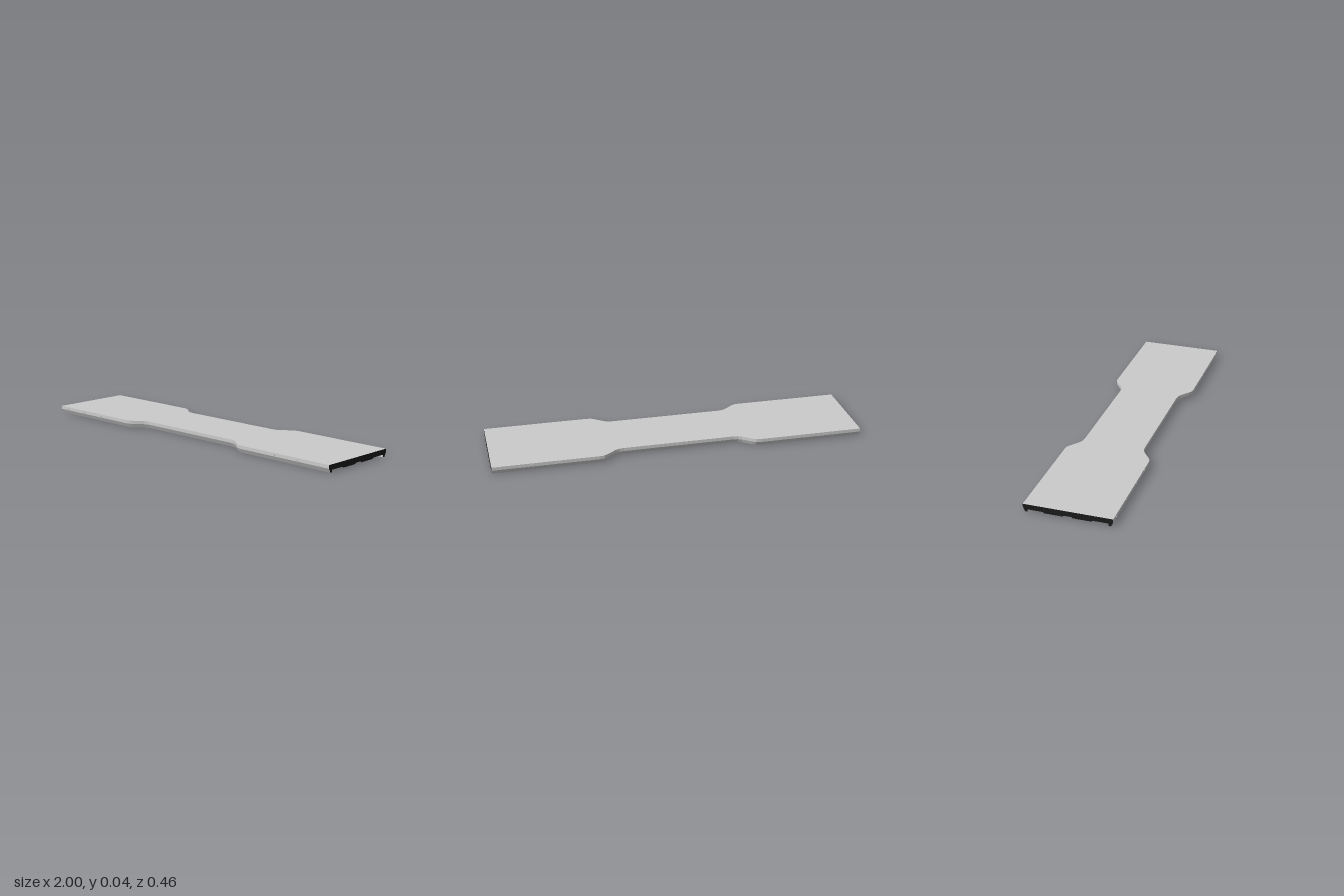
import * as THREE from 'three';

const grey = new THREE.MeshStandardMaterial({ color: 0xcccccc, flatShading: true });
const black = new THREE.MeshStandardMaterial({ color: 0x1a1a1a });

// Half outline from the middle of the plate to its end: [x, half depth]
const outline = [
  [0.30, 0.165], [0.325, 0.168], [0.345, 0.177], [0.395, 0.215],
  [0.412, 0.225], [0.435, 0.228], [1, 0.228],
];
const stations = [...outline.map(([x, h]) => [-x, h]).reverse(), ...outline];

// Channel-shaped cross-section (z, y), counter-clockwise, with two hat ribs underneath
function section(h) {
  const half = [
    [h, 0.04], [h, 0.022], [h - 0.012, 0], [h - 0.023, 0], [h - 0.023, 0.013],
    [0.126, 0.013], [0.118, 0.007], [0.025, 0.007], [0.018, 0.013],
  ];
  return [...half.map(([z, y]) => [-z, y]), ...half.slice().reverse()];
}

// Sweep the section along x
function sweptBody() {
  const pos = [];
  for (let i = 0; i < stations.length - 1; i++) {
    const [x0, h0] = stations[i], [x1, h1] = stations[i + 1];
    const s0 = section(h0), s1 = section(h1);
    for (let j = 0; j < s0.length; j++) {
      const k = (j + 1) % s0.length;
      const a = [x0, s0[j][1], s0[j][0]], b = [x1, s1[j][1], s1[j][0]];
      const c = [x1, s1[k][1], s1[k][0]], d = [x0, s0[k][1], s0[k][0]];
      pos.push(...a, ...b, ...c, ...a, ...c, ...d);
    }
  }
  const g = new THREE.BufferGeometry();
  g.setAttribute('position', new THREE.Float32BufferAttribute(pos, 3));
  g.computeVertexNormals();
  return g;
}

// Box whose underside is narrowed by an inset on all sides
function taperedPad(w, h, d, inset) {
  const g = new THREE.BoxGeometry(w, h, d);
  const p = g.attributes.position;
  for (let i = 0; i < p.count; i++) {
    if (p.getY(i) < 0) {
      p.setX(i, p.getX(i) - Math.sign(p.getX(i)) * inset);
      p.setZ(i, p.getZ(i) - Math.sign(p.getZ(i)) * inset);
    }
  }
  g.computeVertexNormals();
  return g;
}

export function createModel() {
  const model = new THREE.Group();
  const add = (name, geometry, material, x = 0, y = 0, z = 0) => {
    const mesh = new THREE.Mesh(geometry, material);
    mesh.name = name;
    mesh.position.set(x, y, z);
    model.add(mesh);
    return mesh;
  };

  add('deckPlate', sweptBody(), grey);

  const endShape = new THREE.Shape(section(0.228).map(([z, y]) => new THREE.Vector2(z, y)));
  const crossRib = taperedPad(0.036, 0.012, 0.412, 0.008);
  const bayPad = taperedPad(0.17, 0.005, 0.06, 0.005);
  const sideStud = new THREE.BoxGeometry(0.016, 0.008, 0.003);

  for (const s of [-1, 1]) {
    // Dark end face
    const cap = new THREE.ShapeGeometry(endShape);
    cap.rotateY(s * Math.PI / 2);
    add('endFace', cap, black, s, 0, 0);

    // Ribs across the underside of the wide part
    for (const x of [0.46, 0.7, 0.94]) add('crossRib', crossRib, grey, s * x, 0.009, 0);

    // Shallow pressed pads between the ribs, and small studs on the side walls
    for (const t of [-1, 1]) {
      for (const x of [0.58, 0.82]) add('bayPad', bayPad, grey, s * x, 0.0115, t * 0.165);
      for (const x of [0.51, 0.65, 0.8, 0.95]) add('sideStud', sideStud, grey, s * x, 0.029, t * 0.2275);
    }
  }
  return model;
}
